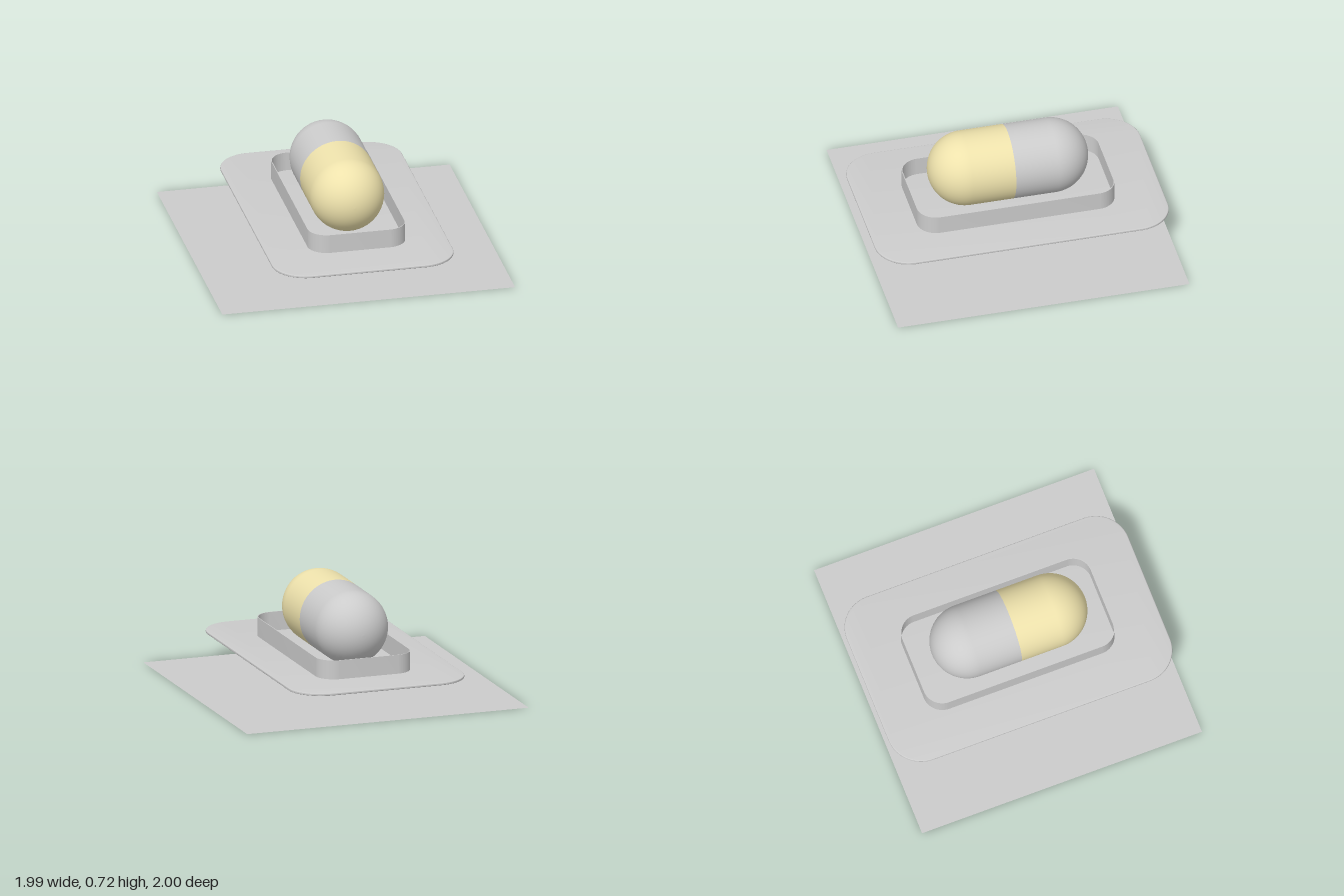
import * as THREE from 'three';
import { toCreasedNormals } from 'three/addons/utils/BufferGeometryUtils.js';

const grey = new THREE.MeshStandardMaterial({ color: 0xcccccc });
const greyThin = new THREE.MeshStandardMaterial({ color: 0xcccccc, side: THREE.DoubleSide });
const cream = new THREE.MeshStandardMaterial({ color: 0xeee2ac });

// Traces a rounded rectangle of half-width w, half-length l and corner radius r
function roundedRect(path, w, l, r) {
  path.moveTo(w, -l + r);
  path.lineTo(w, l - r);
  path.absarc(w - r, l - r, r, 0, Math.PI / 2);
  path.absarc(-w + r, l - r, r, Math.PI / 2, Math.PI);
  path.absarc(-w + r, -l + r, r, Math.PI, Math.PI * 1.5);
  path.absarc(w - r, -l + r, r, Math.PI * 1.5, Math.PI * 2);
  return path;
}

// Extrudes a shape upward from the ground plane
function extrudeUp(shape, options) {
  const geometry = new THREE.ExtrudeGeometry(shape, { curveSegments: 16, ...options });
  geometry.rotateX(-Math.PI / 2);
  return toCreasedNormals(geometry, 0.6);
}

export function createModel() {
  const model = new THREE.Group();
  model.name = 'capsuleOnTray';
  const add = (name, geometry, material, x, y, z) => {
    const mesh = new THREE.Mesh(geometry, material);
    mesh.name = name;
    mesh.position.set(x, y, z);
    model.add(mesh);
    return mesh;
  };

  // Flat ground sheet
  add('groundSheet', new THREE.PlaneGeometry(1.99, 1.99).rotateX(-Math.PI / 2), greyThin, -0.005, 0, -0.005);

  // Raised backing plate with softened rim
  const bevel = 0.007;
  const plate = roundedRect(new THREE.Shape(), 0.615 - bevel, 1 - bevel, 0.23 - bevel);
  add('backingPlate', extrudeUp(plate, {
    depth: 0.004, bevelEnabled: true, bevelThickness: bevel, bevelSize: bevel, bevelSegments: 3,
  }), grey, 0, 0.208 + bevel, 0);

  // Thin upright wall around the capsule
  const wall = roundedRect(new THREE.Shape(), 0.331, 0.673, 0.13);
  wall.holes.push(roundedRect(new THREE.Path(), 0.326, 0.668, 0.125));
  add('trayWall', extrudeUp(wall, { depth: 0.13, bevelEnabled: false }), grey, 0.009, 0.225, -0.002);

  // Capsule: two mirrored halves meeting at z = 0
  const radius = 0.25, straight = 0.294;
  const profile = [new THREE.Vector2(radius, 0)];
  for (let i = 0; i <= 20; i++) {
    const a = (i / 20) * Math.PI / 2;
    profile.push(new THREE.Vector2(i === 20 ? 0 : radius * Math.cos(a), straight + radius * Math.sin(a)));
  }
  const half = new THREE.LatheGeometry(profile, 48).rotateX(Math.PI / 2);
  add('capsuleFrontHalf', half, cream, 0, 0.472, 0);
  add('capsuleBackHalf', half, grey, 0, 0.472, 0).rotation.y = Math.PI;

  return model;
}
